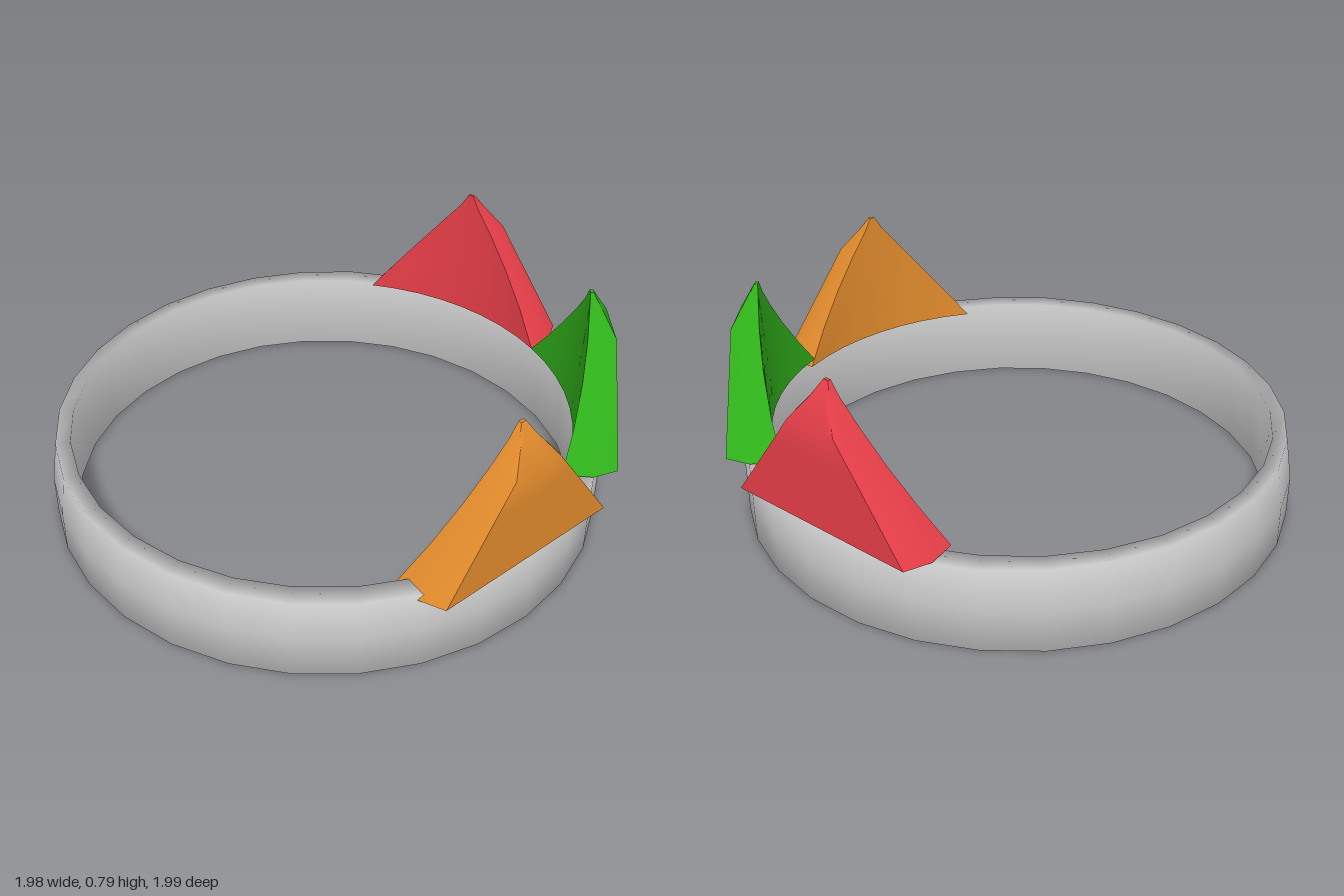
import * as THREE from 'three';
import { toCreasedNormals } from 'three/addons/utils/BufferGeometryUtils.js';

const CENTRE = new THREE.Vector3(-0.02, 0, 0.025);
const lerp = THREE.MathUtils.lerp;

// Flat band, softly shaded, its upper outer rim drawn in a little on the -x side
function bandGeometry() {
  const profile = [[0.975, 0.15], [0.975, 0.3], [0.9, 0.3], [0.9, 0], [0.975, 0], [0.975, 0.15]]
    .map(([r, y]) => new THREE.Vector2(r, y));
  const geometry = new THREE.LatheGeometry(profile, 30);
  const pos = geometry.attributes.position;
  for (let i = 0; i < pos.count; i++) {
    const x = pos.getX(i), z = pos.getZ(i), r = Math.hypot(x, z);
    if (r < 0.95 || pos.getY(i) < 0.2) continue;
    const k = 1 - 0.025 * Math.max(0, -x / r);
    pos.setX(i, x * k);
    pos.setZ(i, z * k);
  }
  return geometry;
}

// Pointed peak lofted upward: straight outer face, concave inner face.
// Local +x points away from the band's centre, z runs along the band.
function peakGeometry() {
  const columns = 9, levels = [0, 0.25, 0.5, 0.73, 0.9, 1];
  const size = columns * 2, verts = [], index = [];
  for (const t of levels) {
    const w = Math.max(1 - t, 0.025);
    const y = lerp(0.305, 0.79, t);
    // The outer face rises upright, then slopes in to the tip
    const outer = t <= 0.73 ? 0.978 : lerp(0.978, 0.902, (t - 0.73) / 0.27);
    const inner = lerp(0.872, 0.89, t);
    const ring = [];
    for (let i = 0; i < columns; i++) {
      const end = i === 0 || i === columns - 1;
      const u = end ? Math.sign(i - 1) : (i - 4) / 3;
      // End columns form the blunt corners that lie over the band
      ring.push(end ? [lerp(outer, 0.89, w), y, u * 0.394 * w] : [outer, y, u * 0.36 * w]);
    }
    for (let i = columns - 1; i >= 0; i--) {
      const a = ((i - 4) / 4) * w * 0.448;
      ring.push([inner * Math.cos(a), y, inner * Math.sin(a)]);
    }
    verts.push(...ring.flat());
  }
  // Walls
  for (let l = 0; l < levels.length - 1; l++) {
    for (let i = 0; i < size; i++) {
      const a = l * size + i, b = l * size + (i + 1) % size;
      index.push(a, a + size, b, b, a + size, b + size);
    }
  }
  // Underside and tip, as strips between the outer and inner edges
  const top = (levels.length - 1) * size;
  for (let i = 0; i < columns - 1; i++) {
    const a = i, b = i + 1, c = size - 2 - i, d = size - 1 - i;
    index.push(a, b, c, a, c, d);
    index.push(top + a, top + c, top + b, top + a, top + d, top + c);
  }
  const geometry = new THREE.BufferGeometry();
  geometry.setAttribute('position', new THREE.Float32BufferAttribute(verts, 3));
  geometry.setIndex(index);
  return toCreasedNormals(geometry, 0.75);
}

export function createModel() {
  const model = new THREE.Group();
  model.name = 'bandWithPeaks';

  const band = new THREE.Mesh(bandGeometry(),
    new THREE.MeshStandardMaterial({ color: 0xcccccc, side: THREE.DoubleSide }));
  band.name = 'band';
  band.position.copy(CENTRE);
  model.add(band);

  // Three peaks spaced along the band: name, colour, bearing in degrees, drop
  const geometry = peakGeometry();
  const peaks = [
    ['orangePeak', 0xe08a2c, 43.5, 0.025],
    ['greenPeak', 0x30b01a, -6.5, 0],
    ['redPeak', 0xe63e48, -57.8, 0],
  ];
  for (const [name, color, bearing, drop] of peaks) {
    const peak = new THREE.Mesh(geometry,
      new THREE.MeshStandardMaterial({ color, side: THREE.DoubleSide }));
    peak.name = name;
    peak.position.copy(CENTRE);
    peak.position.y = -drop;
    peak.rotation.y = -THREE.MathUtils.degToRad(bearing);
    model.add(peak);
  }
  return model;
}
